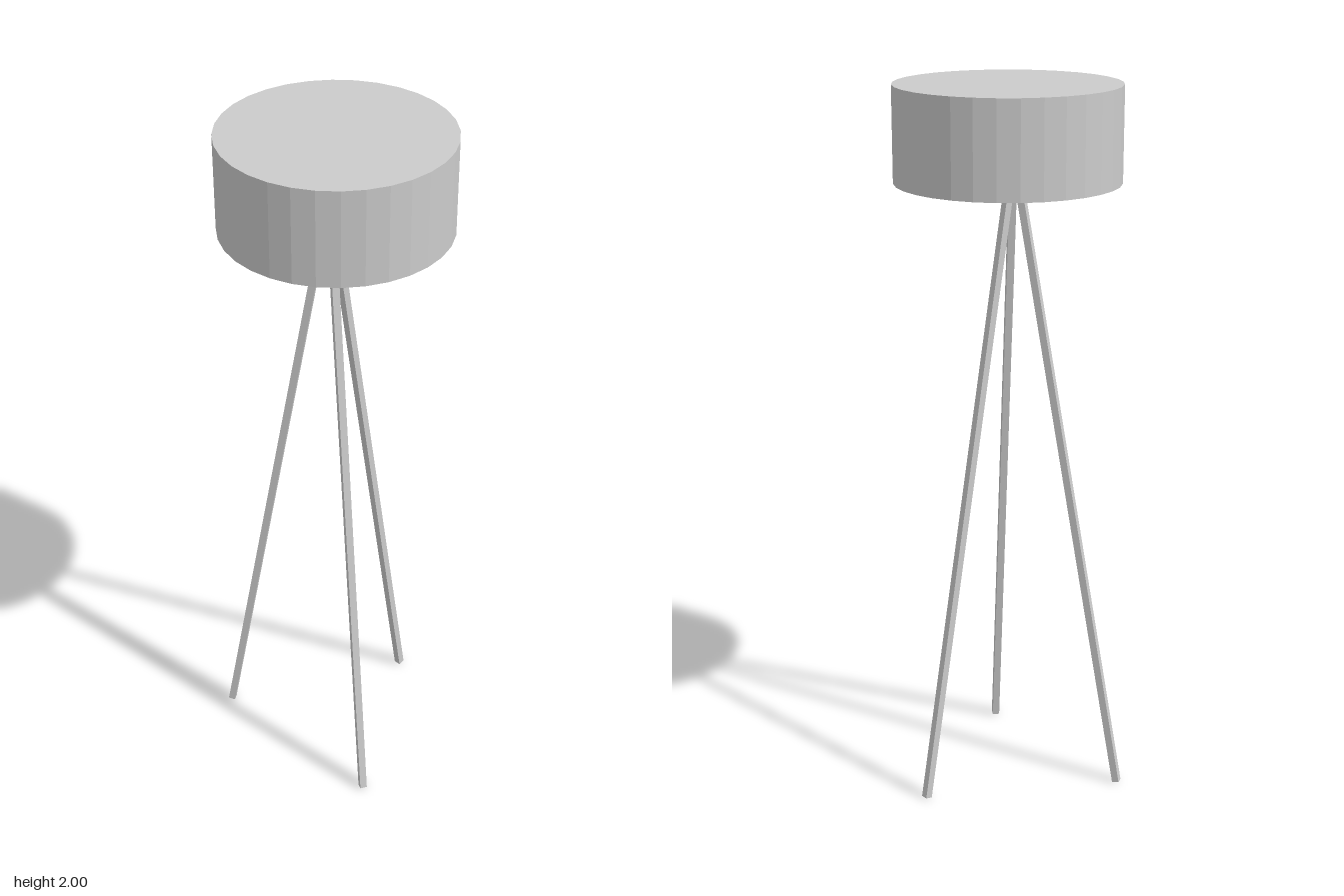
import * as THREE from 'three';

export function createModel() {
  const model = new THREE.Group();
  model.name = 'tripodDrum';
  const material = new THREE.MeshStandardMaterial({ color: 0xcccccc, flatShading: true });

  // Drum on top
  const drum = new THREE.Mesh(new THREE.CylinderGeometry(0.307, 0.307, 0.26, 32), material);
  drum.name = 'drum';
  drum.position.set(0, 1.87, 0.007);
  model.add(drum);

  // Three splayed square legs, slightly off the drum's centre
  const legs = new THREE.Group();
  legs.name = 'legs';
  legs.position.set(-0.015, 0, 0.015);
  const thickness = 0.02, footRadius = 0.322, topRadius = 0.013, footY = 0.002, topY = 1.75;
  const run = footRadius - topRadius, rise = topY - footY;
  const legGeometry = new THREE.BoxGeometry(thickness, Math.hypot(run, rise), thickness);
  ['backLeg', 'frontRightLeg', 'frontLeftLeg'].forEach((name, i) => {
    const pivot = new THREE.Group();
    pivot.name = name;
    pivot.rotation.y = (i * Math.PI * 2) / 3;
    const leg = new THREE.Mesh(legGeometry, material);
    leg.name = name + 'Bar';
    leg.position.set(0, (footY + topY) / 2, -(footRadius + topRadius) / 2);
    leg.rotation.x = Math.atan2(run, rise);
    pivot.add(leg);
    legs.add(pivot);
  });
  model.add(legs);

  return model;
}
